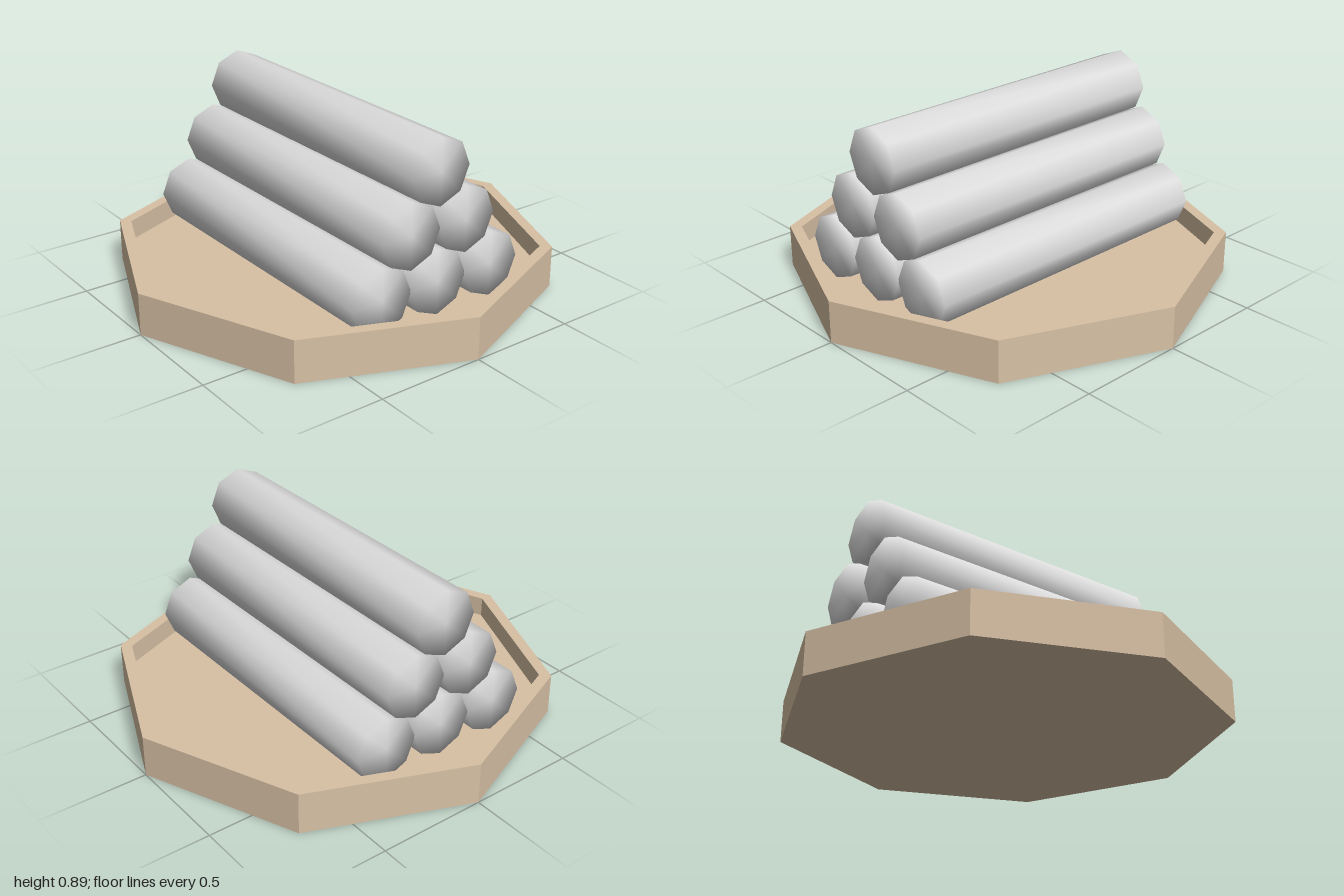
import * as THREE from 'three';
import { mergeVertices } from 'three/addons/utils/BufferGeometryUtils.js';

const SIDES = 8;
const LOG_RADIUS = 0.15;
const LOG_LENGTH = 1.49;

// Eight-sided rod along z, with normals shared between sides and end caps
function rodGeometry() {
  const raw = new THREE.CylinderGeometry(LOG_RADIUS, LOG_RADIUS, LOG_LENGTH, SIDES);
  raw.rotateX(Math.PI / 2);
  raw.deleteAttribute('normal');
  raw.deleteAttribute('uv');
  const geometry = mergeVertices(raw, 1e-4);
  geometry.computeVertexNormals();
  return geometry;
}

export function createModel() {
  const model = new THREE.Group();
  model.name = 'rodStackOnTray';

  const tan = new THREE.MeshStandardMaterial({ color: 0xd8c1a5 });
  tan.name = 'tan';
  tan.flatShading = true;
  const grey = new THREE.MeshStandardMaterial({ color: 0xdcdcdc });
  grey.name = 'light grey';

  // Octagonal tray: underside, outer wall, rim, inner wall, floor
  const profile = [[0, 0], [1, 0], [1, 0.195], [0.945, 0.195], [0.945, 0.1], [0, 0.1]]
    .map(([r, y]) => new THREE.Vector2(r, y));
  const tray = new THREE.Mesh(new THREE.LatheGeometry(profile, SIDES), tan);
  tray.name = 'tray';
  model.add(tray);

  // Pyramid of rods: three, two, one
  const stack = new THREE.Group();
  stack.name = 'rodStack';
  const geometry = rodGeometry();
  for (let row = 0; row < 3; row++) {
    const count = 3 - row;
    for (let i = 0; i < count; i++) {
      const rod = new THREE.Mesh(geometry, grey);
      rod.name = `rod${row + 1}_${i + 1}`;
      rod.position.set(-0.006 + (i - (count - 1) / 2) * 0.294, 0.25 + row * 0.245, 0);
      stack.add(rod);
    }
  }
  model.add(stack);
  return model;
}
